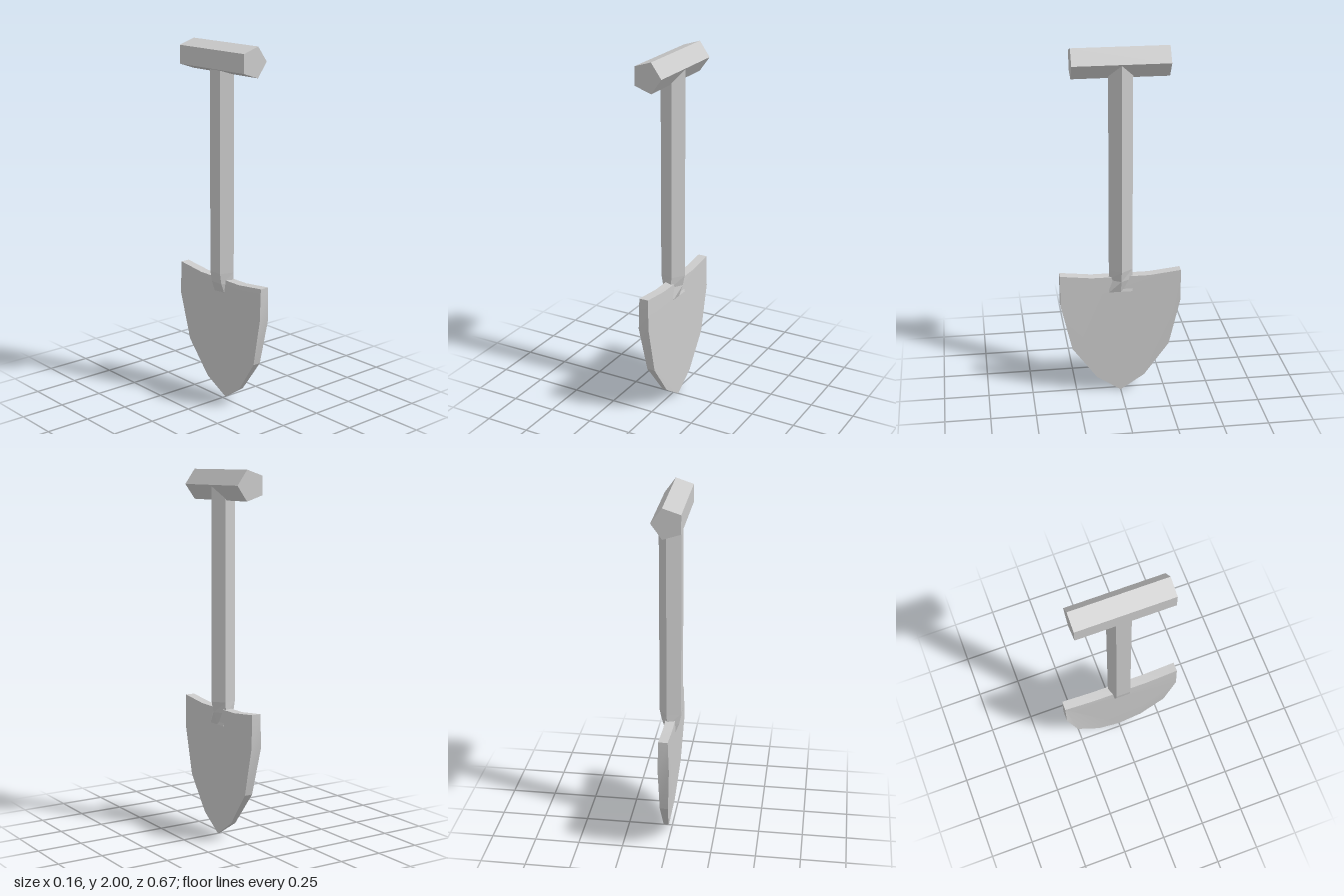
import * as THREE from 'three';
import { toCreasedNormals } from 'three/addons/utils/BufferGeometryUtils.js';

const flat = new THREE.MeshStandardMaterial({ color: 0xcccccc, flatShading: true });
const smooth = new THREE.MeshStandardMaterial({ color: 0xcccccc });

// Five-sided prism along y with one corner pointing to +x
function pentagonPrism(radius, length, rows = 1) {
  return new THREE.CylinderGeometry(radius, radius, length, 5, rows, false, Math.PI / 2);
}

function addPart(group, name, geometry, material) {
  const mesh = new THREE.Mesh(geometry, material);
  mesh.name = name;
  group.add(mesh);
}

// Shaft rows run from the grip down; the lowest rows flatten into the blade
function shaftGeometry() {
  const geo = pentagonPrism(0.069, 3, 3);
  const heights = [1.92, 0.75, 0.69, 0.62];
  const p = geo.attributes.position;
  for (let i = 0; i < p.count; i++) {
    const row = Math.round(1.5 - p.getY(i));
    let x = p.getX(i);
    if (row === 2) x *= 0.82;
    if (row === 3) x = x > 0 ? 0.034 : -0.02;
    p.setXYZ(i, x + 0.002, heights[row], p.getZ(i));
  }
  return geo;
}

// Interpolates [height, x] pairs listed from bottom to top
function sample(pairs, y) {
  for (let i = 1; i < pairs.length; i++) {
    const [y0, x0] = pairs[i - 1];
    const [y1, x1] = pairs[i];
    if (y <= y1) return THREE.MathUtils.lerp(x0, x1, (y - y0) / (y1 - y0));
  }
  return pairs[pairs.length - 1][1];
}

// Blade: mirrored outline, flat on the +x side, thinning to the tip on the -x side
function bladeGeometry() {
  const half = [[0.135, 0.09], [0.273, 0.28], [0.336, 0.55], [0.336, 0.73], [0.16, 0.71]];
  const mirrored = half.map(([w, y]) => [-w, y]).reverse();
  const outline = [[0, 0], ...half, ...mirrored].map(([w, y]) => new THREE.Vector2(w, y));
  const geo = new THREE.ExtrudeGeometry(new THREE.Shape(outline), { depth: 1, bevelEnabled: false });
  geo.rotateY(Math.PI / 2);

  const frontX = [[0, 0.031], [0.28, 0.033], [0.55, 0.034], [0.73, 0.031]];
  const backX = [[0, 0.02], [0.09, 0.004], [0.28, -0.013], [0.55, -0.027], [0.73, -0.021]];
  const p = geo.attributes.position;
  for (let i = 0; i < p.count; i++) {
    p.setX(i, sample(p.getX(i) > 0.5 ? frontX : backX, p.getY(i)));
  }
  geo.deleteAttribute('uv');
  return toCreasedNormals(geo, 0.35);
}

export function createModel() {
  const group = new THREE.Group();
  group.name = 'spade';

  // Cross grip
  const grip = pentagonPrism(0.0857, 0.52);
  grip.rotateX(Math.PI / 2);
  grip.translate(-0.0105, 1.9185, 0);
  addPart(group, 'grip', grip, flat);

  addPart(group, 'shaft', shaftGeometry(), flat);
  addPart(group, 'blade', bladeGeometry(), smooth);
  return group;
}
